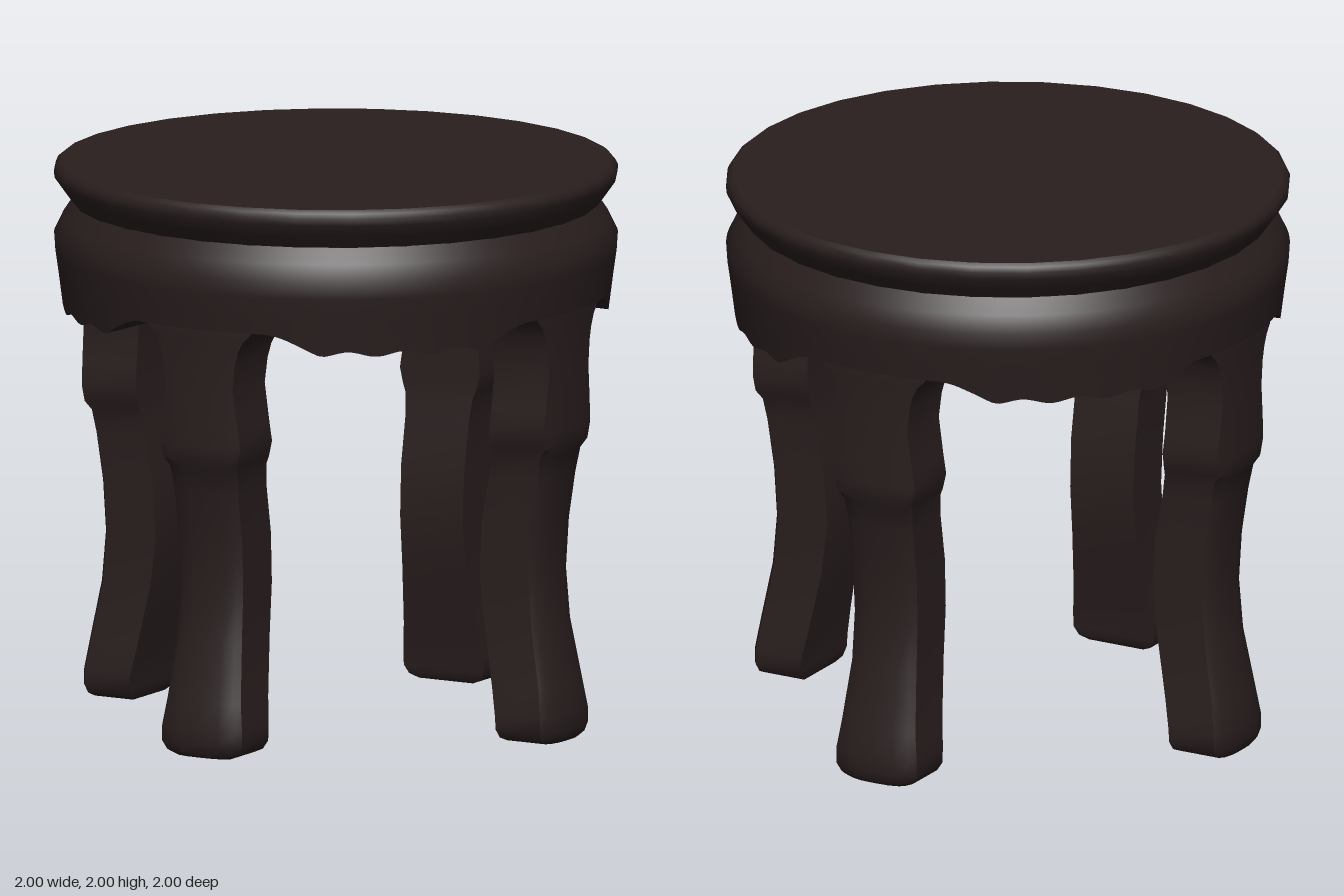
import * as THREE from 'three';
import { toCreasedNormals } from 'three/addons/utils/BufferGeometryUtils.js';

// Skins a stack of closed rings (counter-clockwise seen from above), with optional flat end caps.
function loft(rings, capped) {
  const n = rings[0].length, index = [];
  for (let j = 0; j < rings.length - 1; j++) {
    for (let i = 0; i < n; i++) {
      const a = j * n + i, b = j * n + (i + 1) % n;
      index.push(a, b, b + n, a, b + n, a + n);
    }
  }
  if (capped) {
    const top = (rings.length - 1) * n;
    for (let i = 1; i < n - 1; i++) {
      index.push(0, i + 1, i, top, top + i, top + i + 1);
    }
  }
  const geometry = new THREE.BufferGeometry();
  geometry.setAttribute('position', new THREE.Float32BufferAttribute(rings.flat(2), 3));
  geometry.setIndex(index);
  return toCreasedNormals(geometry, 0.6);
}

// Linear interpolation through [x, y] pairs.
function lerpTable(table, x) {
  for (let i = 1; i < table.length; i++) {
    const [x0, y0] = table[i - 1], [x1, y1] = table[i];
    if (x <= x1) return y0 + (y1 - y0) * (x - x0) / (x1 - x0);
  }
  return table[table.length - 1][1];
}

// Heights of the apron's outer and inner lower edges, by degrees away from the nearest leg.
const OUTER_EDGE = [[0, 1.545], [16, 1.545], [19, 1.533], [23, 1.503], [25, 1.485], [27, 1.47]];
const INNER_EDGE = [[0, 1.545], [16, 1.545], [20, 1.53], [27, 1.5]];
function outerEdge(d) {
  if (d < 27) return lerpTable(OUTER_EDGE, d);
  return 1.468 + 0.018 * Math.sin((d - 27) / 12 * Math.PI) ** 2;
}

function apronGeometry() {
  const segments = 256;
  const profile = [
    () => [0.715, 1.8],
    (d) => [0.715, lerpTable(INNER_EDGE, d)],
    (d) => [0.93, outerEdge(d) + 0.004],
    (d) => [0.965 + (outerEdge(d) - 1.47) * 0.12, outerEdge(d)],
    () => [0.983, 1.61],
    () => [0.993, 1.68],
    () => [0.997, 1.74],
    () => [0.968, 1.8],
    () => [0.93, 1.856],
    () => [0.88, 1.858],
  ];
  const rings = profile.map((point) => Array.from({ length: segments }, (_, i) => {
    const angle = i / segments * Math.PI * 2;
    const degrees = (i / segments * 360) % 90;
    const [r, y] = point(Math.min(degrees, 90 - degrees));
    return [r * Math.sin(angle), y, r * Math.cos(angle)];
  }));
  return loft(rings, false);
}

// Leg stations: height, half width, outer radius, inner radius, edge rounding.
const LEG = [
  [0, 0.11, 0.95, 0.768, 0.02],
  [0.015, 0.145, 0.963, 0.757, 0.022],
  [0.045, 0.164, 0.97, 0.752, 0.022],
  [0.1, 0.164, 0.97, 0.748, 0.022],
  [0.2, 0.15, 0.953, 0.728, 0.022],
  [0.42, 0.131, 0.91, 0.685, 0.022],
  [0.6, 0.128, 0.894, 0.665, 0.02],
  [0.78, 0.13, 0.905, 0.675, 0.02],
  [0.95, 0.13, 0.931, 0.705, 0.018],
  [1.035, 0.138, 0.947, 0.719, 0.016],
  [1.065, 0.15, 0.965, 0.722, 0.01],
  [1.12, 0.164, 0.966, 0.725, 0.006],
  [1.2, 0.154, 0.965, 0.729, 0.002],
  [1.33, 0.137, 0.965, 0.73, 0],
  [1.42, 0.146, 0.966, 0.725, 0],
  [1.47, 0.158, 0.968, 0.72, 0],
  [1.51, 0.178, 0.97, 0.718, 0],
  [1.535, 0.205, 0.972, 0.718, 0],
  [1.6, 0.23, 0.97, 0.73, 0],
];

function legGeometry() {
  const across = [-1, -0.85, -0.5, 0, 0.5, 0.85, 1];
  return loft(LEG.map(([y, half, outer, inner, round]) => [
    ...across.map((t) => {
      const x = t * half;
      return [x, y, Math.sqrt(outer * outer - x * x) - round * t ** 6];
    }),
    [half, y, inner],
    [-half, y, inner],
  ]), true);
}

export function createModel() {
  const model = new THREE.Group();
  model.name = 'stool';
  const wood = new THREE.MeshStandardMaterial({ color: 0x291e1e });
  wood.name = 'dark wood';

  const add = (name, geometry) => {
    const mesh = new THREE.Mesh(geometry, wood);
    mesh.name = name;
    model.add(mesh);
    return mesh;
  };

  // Round seat with a rim that tapers to a waist and an underside set inside the apron
  const seatProfile = [
    [0, 1.775], [0.9, 1.775], [0.9, 1.85], [0.932, 1.855], [0.965, 1.9],
    [0.997, 1.945], [1, 1.97], [0.992, 1.988], [0.978, 2], [0, 2],
  ].map(([r, y]) => new THREE.Vector2(r, y));
  add('seat', toCreasedNormals(new THREE.LatheGeometry(seatProfile, 32), 0.6));

  // Bulging apron with a scalloped lower edge
  add('apron', apronGeometry());

  // Four curved legs
  const leg = legGeometry();
  ['frontLeg', 'leftLeg', 'backLeg', 'rightLeg'].forEach((name, i) => {
    add(name, leg).rotation.y = i * Math.PI / 2;
  });

  return model;
}
